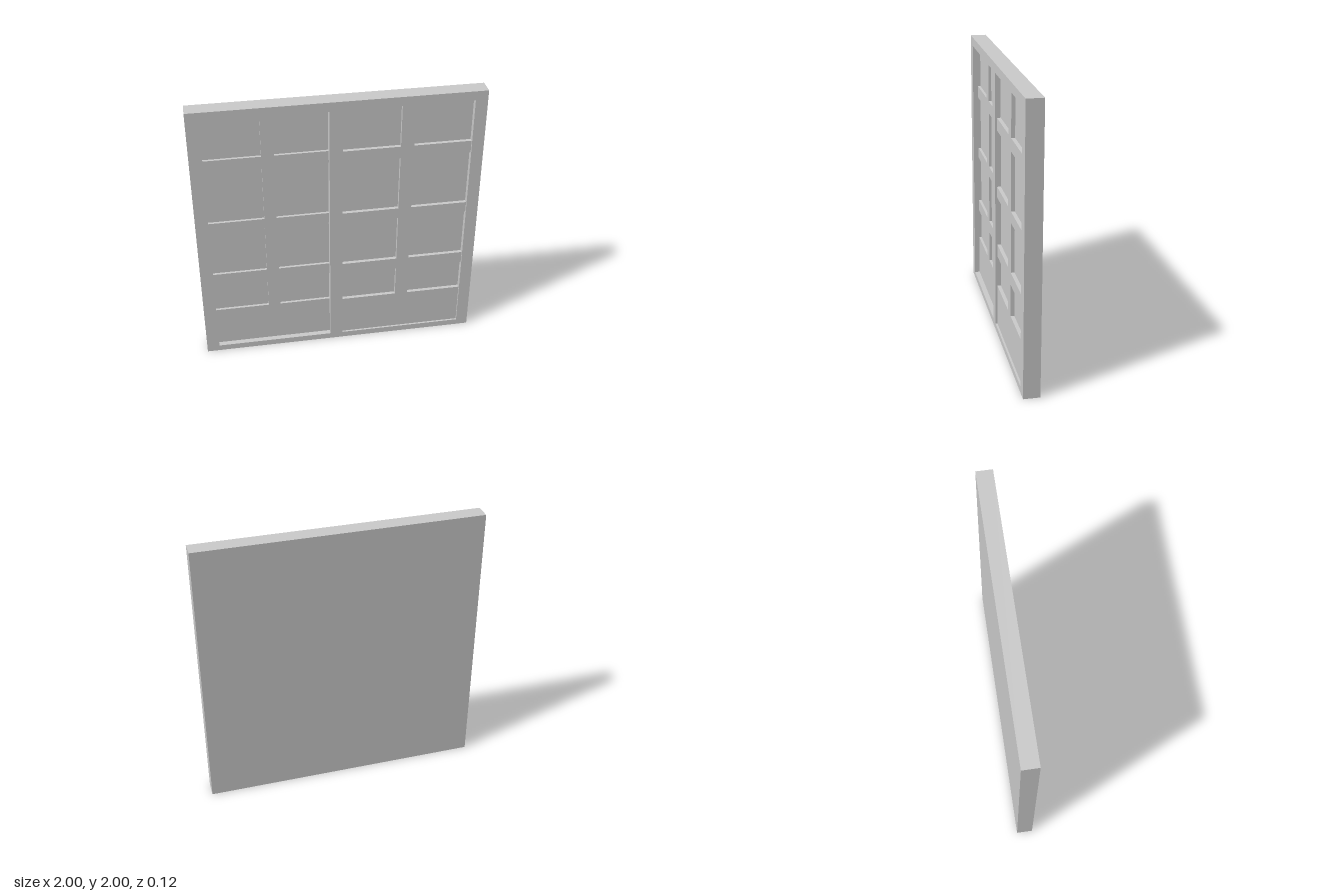
import * as THREE from 'three';

const material = new THREE.MeshStandardMaterial({ color: 0xcccccc });
const BACK = -0.058, FRONT = 0.058;

// Counter-clockwise rectangle as a list of points
const rect = (x0, x1, y0, y1) => [[x0, y0], [x1, y0], [x1, y1], [x0, y1]].map(p => new THREE.Vector2(...p));

// Flat plate from z0 to z1 with rectangular openings
function plate(name, outer, openings, z0, z1) {
  const shape = new THREE.Shape(rect(...outer));
  for (const o of openings) shape.holes.push(new THREE.Path(rect(...o).reverse()));
  const geometry = new THREE.ExtrudeGeometry(shape, { depth: z1 - z0, bevelEnabled: false });
  geometry.translate(0, 0, z0);
  const mesh = new THREE.Mesh(geometry, material);
  mesh.name = name;
  return mesh;
}

// Sliding doors: opening width, centre stile, and depths of lattice and panes
const doors = [
  { name: 'rightDoor', x: [-0.91, -0.068], stile: [-0.522, -0.437], lattice: 0.02, pane: 0.001 },
  { name: 'leftDoor', x: [0.022, 0.915], stile: [0.423, 0.515], lattice: 0.044, pane: 0.018 },
];
const Y0 = 0.045, Y1 = 1.935;
const rows = [[0.355, 0.59], [0.68, 1.04], [1.12, 1.53], [1.62, Y1]];

export function createModel() {
  const model = new THREE.Group();
  model.name = 'slidingDoors';

  // Outer frame with centre post
  model.add(plate('frame', [-1, 1, 0, 2], doors.map(d => [...d.x, Y0, Y1]), BACK, FRONT));

  for (const d of doors) {
    const door = new THREE.Group();
    door.name = d.name;
    // Backing sheet that shows as the panes
    door.add(plate('panes', [...d.x, Y0, Y1], [], BACK, d.pane));
    // Solid kick board below the panes
    door.add(plate('kickBoard', [...d.x, Y0, rows[0][0]], [], d.pane, d.lattice));
    // Rails between the rows of panes
    for (let i = 0; i < rows.length - 1; i++) {
      door.add(plate('rail', [...d.x, rows[i][1], rows[i + 1][0]], [], d.pane, d.lattice));
    }
    // Centre stile, one piece per row
    for (const row of rows) door.add(plate('stile', [...d.stile, ...row], [], d.pane, d.lattice));
    model.add(door);
  }
  return model;
}
